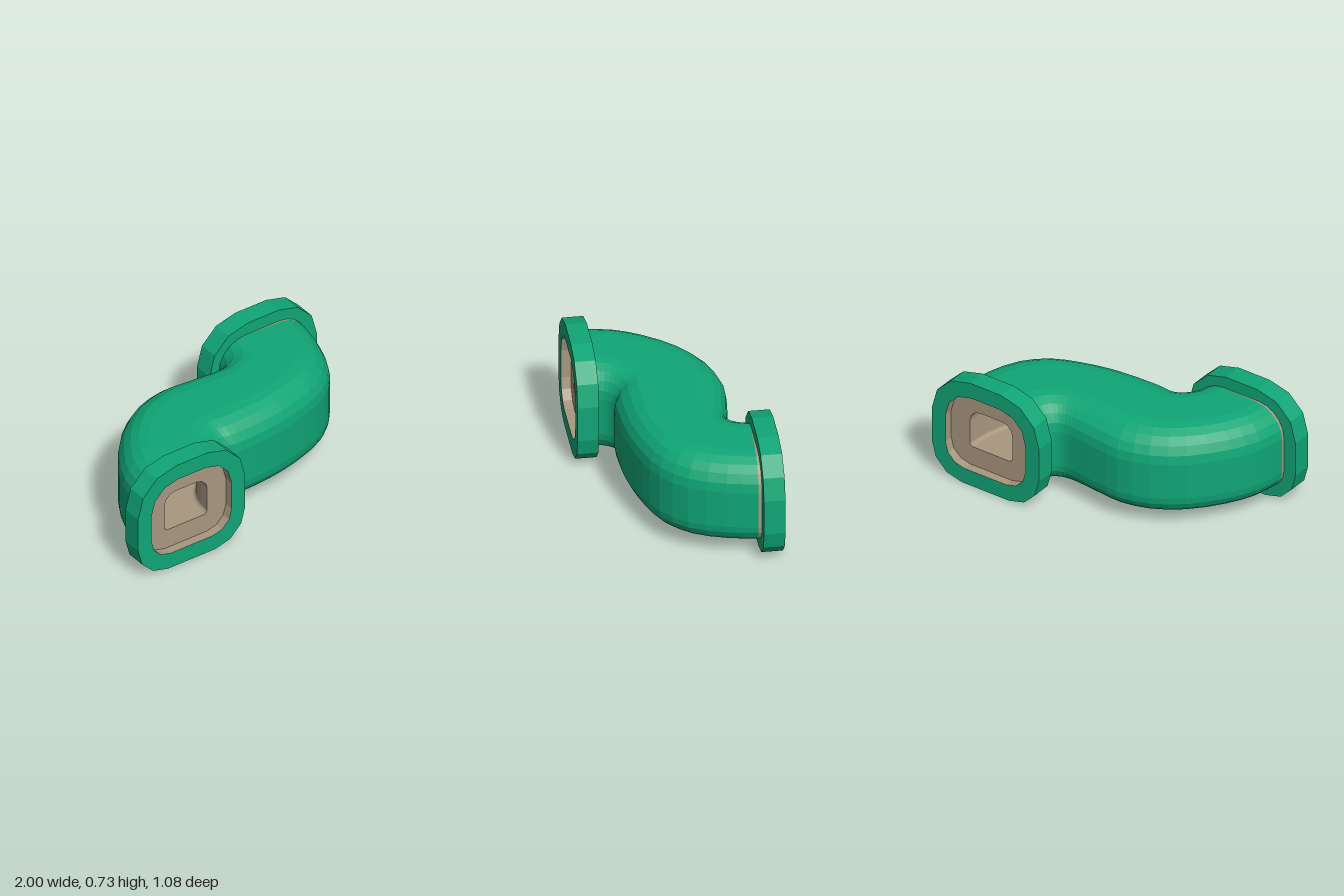
import * as THREE from 'three';

const MID_Y = 0.365;
const END_X = 0.605;

// Rounded cross-section, counter-clockwise, with separate top and bottom corner radii
function section(w, h, rTop, rBottom, steps) {
  const pts = [];
  const corners = [[1, -1, rBottom, -90], [1, 1, rTop, 0], [-1, 1, rTop, 90], [-1, -1, rBottom, 180]];
  for (const [sx, sy, r, start] of corners) {
    for (let i = 0; i <= steps; i++) {
      const a = THREE.MathUtils.degToRad(start + (90 * i) / steps);
      pts.push([sx * (w / 2 - r) + r * Math.cos(a), sy * (h / 2 - r) + r * Math.sin(a)]);
    }
  }
  return pts;
}

// Places a section in space: u runs along (dx, dz), v runs up
function ring(pts, x, z, dx = 1, dz = 0, stretch = 1) {
  return pts.map(([u, v]) => [x + u * stretch * dx, MID_Y + v, z + u * stretch * dz]);
}

// Skins a list of rings with equal point counts
function loft(rings) {
  const pos = [];
  for (let i = 0; i < rings.length - 1; i++) {
    const n = rings[i].length;
    for (let j = 0; j < n; j++) {
      const k = (j + 1) % n;
      const a = rings[i][j], b = rings[i][k], c = rings[i + 1][k], d = rings[i + 1][j];
      pos.push(...a, ...b, ...c, ...a, ...c, ...d);
    }
  }
  const g = new THREE.BufferGeometry();
  g.setAttribute('position', new THREE.Float32BufferAttribute(pos, 3));
  g.computeVertexNormals();
  return g;
}

function addMesh(parent, name, rings, material) {
  const mesh = new THREE.Mesh(loft(rings), material);
  mesh.name = name;
  parent.add(mesh);
}

export function createModel() {
  const model = new THREE.Group();
  model.name = 'sBendPipe';
  const green = new THREE.MeshStandardMaterial({ color: 0x10a676, flatShading: true });
  green.name = 'pipeGreen';
  const tan = new THREE.MeshStandardMaterial({ color: 0xa8977f, flatShading: true });
  tan.name = 'innerTan';

  // Plan outlines of the bend: the two sides as [x, z], paired ring by ring
  const sideA = [[-0.915, 0.39], [-0.88, 0.22], [-0.79, 0.04], [-0.62, -0.17], [-0.43, -0.3],
    [-0.23, -0.355], [-0.08, -0.345], [0.05, -0.33], [0.13, -0.32], [0.18, -0.32],
    [0.215, -0.33], [0.25, -0.355], [0.27, -0.385], [0.28, -0.415]];
  const sideB = [[-0.28, 0.415], [-0.265, 0.375], [-0.235, 0.335], [-0.2, 0.315], [-0.17, 0.315],
    [-0.135, 0.33], [-0.03, 0.33], [0.12, 0.32], [0.26, 0.3], [0.45, 0.25],
    [0.64, 0.17], [0.79, 0.02], [0.88, -0.2], [0.915, -0.39]];
  const curve = (pts) => new THREE.CatmullRomCurve3(pts.map(([x, z]) => new THREE.Vector3(x, 0, z)));
  const curveA = curve(sideA), curveB = curve(sideB);

  const pipeSection = section(1, 0.57, 0.17, 0.14, 5);
  // Corner radii are kept round at the typical pipe width
  const pipeUnit = section(0.635, 0.57, 0.19, 0.14, 5).map(([u, v]) => [u / 0.635, v]);
  const ductSection = section(0.315, 0.26, 0.08, 0.025, 5);

  const pipeRings = [], ductRings = [ring(ductSection, -END_X, 0.48)];
  const RINGS = 26;
  for (let i = 0; i <= RINGS; i++) {
    const a = curveA.getPoint(i / RINGS), b = curveB.getPoint(i / RINGS);
    const width = a.distanceTo(b);
    const dir = b.clone().sub(a).normalize();
    const mid = a.clone().add(b).multiplyScalar(0.5);
    pipeRings.push(ring(pipeUnit.length === pipeSection.length ? pipeUnit : pipeSection,
      mid.x, mid.z, dir.x, dir.z, width));
    ductRings.push(ring(ductSection, mid.x, mid.z, dir.x, dir.z));
  }
  ductRings.push(ring(ductSection, END_X, -0.48));

  // Outer pipe and the duct running through it
  addMesh(model, 'pipe', [...pipeRings].reverse(), green);
  addMesh(model, 'innerDuct', ductRings, tan);

  // Collars, one at each end, the second turned half a circle
  const collarOuter = section(0.79, 0.73, 0.28, 0.22, 3);
  const collarHole = section(0.59, 0.52, 0.19, 0.14, 3);
  const ductMouth = section(0.315, 0.26, 0.08, 0.025, 3);
  for (const [name, turn] of [['frontEnd', 0], ['backEnd', Math.PI]]) {
    const end = new THREE.Group();
    end.name = name;
    end.rotation.y = turn;
    const at = (pts, z) => ring(pts, -END_X, z);
    addMesh(end, 'collar', [at(collarHole, 0.41), at(collarOuter, 0.41),
      at(collarOuter, 0.54), at(collarHole, 0.54)], green);
    // Recess wall and ledge around the duct opening
    addMesh(end, 'recess', [at(collarHole, 0.54), at(collarHole, 0.48), at(ductMouth, 0.48)], tan);
    // Short lining between the pipe end and the collar
    addMesh(end, 'lining', [pipeRings[0], ring(pipeUnit, -0.5975, 0.45, 1, 0, 0.635)], tan);
    model.add(end);
  }
  return model;
}
